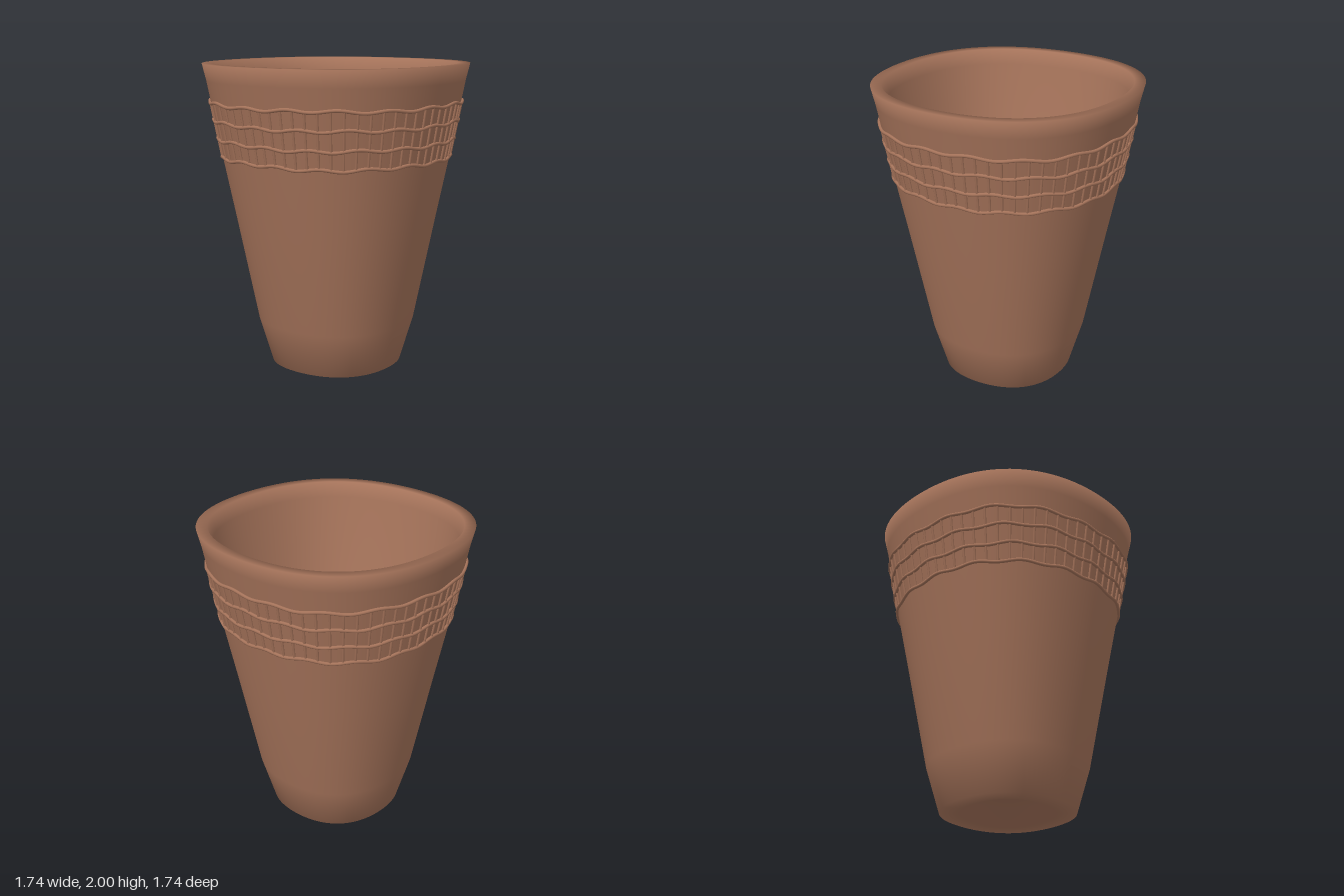
import * as THREE from 'three';
import { mergeVertices, mergeGeometries } from 'three/addons/utils/BufferGeometryUtils.js';

const clay = new THREE.MeshStandardMaterial({ color: 0xa5735a });
clay.name = 'terracotta';

// Hand-thrown wobble: slightly squared circle, full radius on the axes
const wobble = (a) => 0.979 + 0.021 * Math.cos(4 * a);

// Outer wall: [radius, height]
const OUTER = [[0.435, 0], [0.525, 0.3], [0.667, 1], [0.75, 1.4], [0.845, 1.89], [0.872, 2]];

function wallRadius(y) {
  for (let i = 1; i < OUTER.length; i++) {
    const [r0, y0] = OUTER[i - 1], [r1, y1] = OUTER[i];
    if (y <= y1) return r0 + (r1 - r0) * (y - y0) / (y1 - y0);
  }
  return OUTER[OUTER.length - 1][0];
}

// Point on the outer wall, raised by lift
function onWall(angle, y, lift) {
  const r = wallRadius(y) * wobble(angle) + lift;
  return new THREE.Vector3(r * Math.sin(angle), y, r * Math.cos(angle));
}

// Pot: recessed foot, outer wall, rim, inner wall and floor in one skin
function potGeometry() {
  const profile = [
    [0, 0.12], [0.26, 0.12], [0.31, 0],
    ...OUTER,
    [0.8, 2], [0.775, 1.9], [0.41, 0.25], [0, 0.25],
  ].map(([r, y]) => new THREE.Vector2(r, y));
  let geo = new THREE.LatheGeometry(profile, 96);
  const p = geo.attributes.position;
  for (let i = 0; i < p.count; i++) {
    const x = p.getX(i), z = p.getZ(i);
    const w = wobble(Math.atan2(x, z));
    p.setX(i, x * w);
    p.setZ(i, z * w);
  }
  geo.deleteAttribute('uv');
  geo.deleteAttribute('normal');
  geo = mergeVertices(geo, 1e-4);
  geo.computeVertexNormals();
  return geo;
}

// Gentle up-and-down wave of each woven ring
const ringHeight = (y, angle, k) =>
  y + 0.008 * Math.sin(16 * angle + k * 1.3) + 0.003 * Math.sin(5 * angle + k);

export function createModel() {
  const group = new THREE.Group();
  const add = (name, geo) => {
    const mesh = new THREE.Mesh(geo, clay);
    mesh.name = name;
    group.add(mesh);
  };

  add('pot', potGeometry());

  // Four wavy rings around the upper wall
  const levels = [1.4, 1.515, 1.635, 1.752];
  const rings = levels.map((y, k) => {
    const pts = [];
    for (let i = 0; i < 128; i++) {
      const a = (i / 128) * Math.PI * 2;
      pts.push(onWall(a, ringHeight(y, a, k), 0.006));
    }
    const path = new THREE.CatmullRomCurve3(pts, true);
    return new THREE.TubeGeometry(path, 192, 0.011, 8, true);
  });
  add('bandRings', mergeGeometries(rings));

  // Short upright ties between neighbouring rings
  const ties = [];
  const count = 64;
  for (let i = 0; i < count; i++) {
    const a = (i / count) * Math.PI * 2;
    for (let k = 0; k < 3; k++) {
      const path = new THREE.LineCurve3(
        onWall(a, ringHeight(levels[k], a, k), 0.004),
        onWall(a, ringHeight(levels[k + 1], a, k + 1), 0.004),
      );
      ties.push(new THREE.TubeGeometry(path, 1, 0.008, 6, false));
    }
  }
  add('bandTies', mergeGeometries(ties));

  return group;
}
